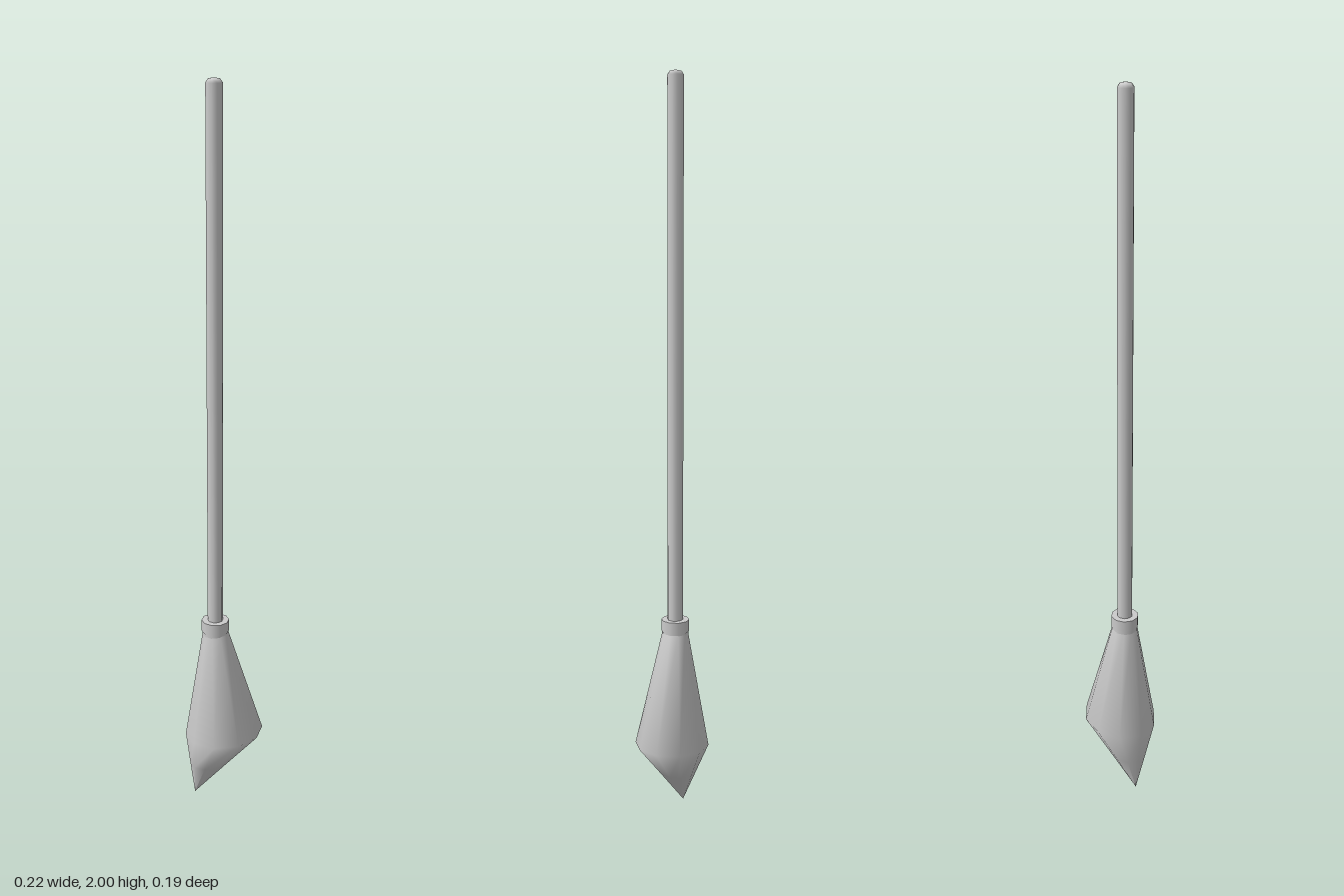
import * as THREE from 'three';

const SIDES = 10;
const HANDLE_X = -0.024;

// Skin stacked rings, listed from top to bottom: { x, y, rx, rz, tilt }
function loft(rings) {
  const pos = [], index = [];
  for (const { x, y, rx, rz, tilt = 0 } of rings) {
    for (let i = 0; i < SIDES; i++) {
      const a = (i / SIDES) * Math.PI * 2;
      pos.push(x + rx * Math.cos(a), y + tilt * Math.cos(a), rz * Math.sin(a));
    }
  }
  for (let r = 0; r < rings.length - 1; r++) {
    for (let i = 0; i < SIDES; i++) {
      const j = (i + 1) % SIDES;
      const a = r * SIDES + i, b = r * SIDES + j;
      const c = a + SIDES, d = b + SIDES;
      index.push(a, b, d);
      if (rings[r + 1].rx > 0) index.push(a, d, c);
    }
  }
  const geo = new THREE.BufferGeometry();
  geo.setAttribute('position', new THREE.Float32BufferAttribute(pos, 3));
  geo.setIndex(index);
  geo.computeVertexNormals();
  return geo;
}

export function createModel() {
  const model = new THREE.Group();
  model.name = 'broom';
  const material = new THREE.MeshStandardMaterial({ color: 0xcccccc, side: THREE.DoubleSide });

  const add = (name, geometry, x = 0, y = 0) => {
    const mesh = new THREE.Mesh(geometry, material);
    mesh.name = name;
    mesh.position.set(x, y, 0);
    model.add(mesh);
  };
  const lathe = (points) =>
    new THREE.LatheGeometry(points.map(([r, y]) => new THREE.Vector2(r, y)), SIDES, Math.PI / 2);

  // Long stick with a slightly rounded end
  add('handle', lathe([[0.021, 0.5], [0.021, 1.988], [0.015, 1.997], [0, 2]]), HANDLE_X);

  // Binding around the neck: an upper band and a narrow lower ring
  const band = (r, h) => new THREE.CylinderGeometry(r, r, h, SIDES).rotateY(Math.PI / 2);
  add('upperBinding', band(0.038, 0.033), HANDLE_X, 0.539);
  add('lowerBinding', band(0.036, 0.016), HANDLE_X, 0.515);

  // Bristle bundle: flares from the neck, then tapers to an off-centre point
  add('bristles', loft([
    { x: HANDLE_X, y: 0.525, rx: 0.034, rz: 0.034 },
    { x: 0, y: 0.203, rx: 0.109, rz: 0.1, tilt: 0.007 },
    { x: -0.042, y: 0.102, rx: 0.055, rz: 0.05, tilt: 0.004 },
    { x: -0.084, y: 0, rx: 0, rz: 0 },
  ]));

  return model;
}
